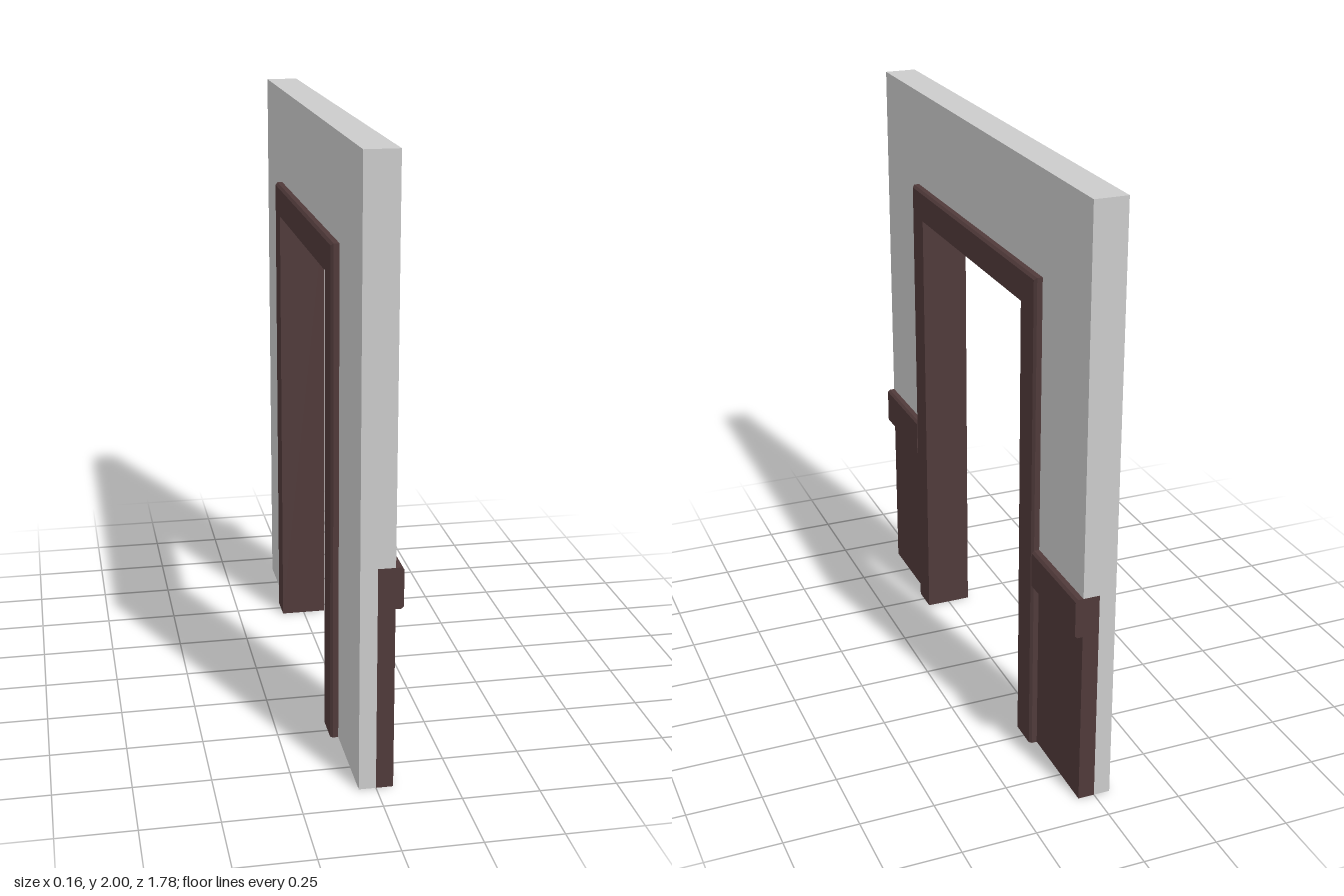
import * as THREE from 'three';

const HALF = 0.89, TOP = 2, WALL = 0.055;         // wall half length, height, half thickness
const OPEN = 0.445, OPEN_TOP = 1.56, TRIM = 0.106; // opening and casing width
const FACE = 0.081, BEVEL = 0.008;                 // trim face distance, edge bevel
const RAIL_BOTTOM = 0.605, RAIL_TOP = 0.74;

const plaster = new THREE.MeshStandardMaterial({ color: 0xcccccc, flatShading: true });
const wood = new THREE.MeshStandardMaterial({ color: 0x503a3a, flatShading: true });

function add(group, name, geometry, material) {
  const mesh = new THREE.Mesh(geometry, material);
  mesh.name = name;
  group.add(mesh);
  return mesh;
}

function shapeOf(points) {
  return new THREE.Shape(points.map(([x, y]) => new THREE.Vector2(x, y)));
}

// Arch-shaped slab of wall between two x positions, its legs starting at a given height
function wallSlab(x0, x1, legBottom) {
  const inner = OPEN + TRIM, head = OPEN_TOP + TRIM;
  const shape = shapeOf([
    [-HALF, legBottom], [-inner, legBottom], [-inner, head], [inner, head],
    [inner, legBottom], [HALF, legBottom], [HALF, TOP], [-HALF, TOP],
  ]);
  return new THREE.ExtrudeGeometry(shape, { depth: x1 - x0, bevelEnabled: false })
    .rotateY(Math.PI / 2).translate(x0, 0, 0);
}

// Casing: bevelled section swept round the opening with mitred corners
function casingGeometry() {
  const section = [ // [distance outward from the opening, x]
    [0, -FACE], [0, FACE], [TRIM - BEVEL, FACE], [TRIM, FACE - BEVEL],
    [TRIM, BEVEL - FACE], [TRIM - BEVEL, -FACE],
  ];
  const path = [ // [z, y, outward z, outward y]
    [OPEN, 0, 1, 0], [OPEN, OPEN_TOP, 1, 1], [-OPEN, OPEN_TOP, -1, 1], [-OPEN, 0, -1, 0],
  ];
  const n = section.length, positions = [], index = [];
  for (const [z, y, oz, oy] of path)
    for (const [d, x] of section) positions.push(x, y + oy * d, z + oz * d);
  for (let i = 0; i < path.length - 1; i++)
    for (let j = 0; j < n; j++) {
      const a = i * n + j, b = i * n + (j + 1) % n, c = a + n, d = b + n;
      index.push(a, c, b, b, c, d);
    }
  const last = (path.length - 1) * n;
  for (let k = 1; k < n - 1; k++) {
    index.push(0, k, k + 1);
    index.push(last, last + k + 1, last + k);
  }
  const geometry = new THREE.BufferGeometry();
  geometry.setAttribute('position', new THREE.Float32BufferAttribute(positions, 3));
  geometry.setIndex(index);
  const flat = geometry.toNonIndexed();
  flat.computeVertexNormals();
  return flat;
}

export function createModel() {
  const model = new THREE.Group();
  model.name = 'doorwayWall';

  // Wall: full-height back layer, front layer stopping above the wainscot
  const wall = new THREE.Group();
  wall.name = 'wall';
  add(wall, 'wallBack', wallSlab(-WALL, 0, 0), plaster);
  add(wall, 'wallFront', wallSlab(0, WALL, RAIL_TOP), plaster);
  model.add(wall);

  // Door casing, showing on both faces and lining the opening
  add(model, 'doorCasing', casingGeometry(), wood);

  // Wainscot on each side of the opening, on the +x face only
  const start = OPEN + TRIM, length = HALF - start;
  const railProfile = shapeOf([
    [0, RAIL_BOTTOM], [FACE - BEVEL, RAIL_BOTTOM], [FACE, RAIL_BOTTOM + BEVEL],
    [FACE, RAIL_TOP - BEVEL], [FACE - BEVEL, RAIL_TOP], [0, RAIL_TOP],
  ]);
  for (const side of [1, -1]) {
    const wainscot = new THREE.Group();
    wainscot.name = side > 0 ? 'frontWainscot' : 'backWainscot';
    const middle = side * (start + length / 2);
    add(wainscot, 'panel', new THREE.BoxGeometry(WALL, RAIL_BOTTOM, length), wood)
      .position.set(WALL / 2, RAIL_BOTTOM / 2, middle);
    add(wainscot, 'rail',
      new THREE.ExtrudeGeometry(railProfile, { depth: length, bevelEnabled: false }), wood)
      .position.z = middle - length / 2;
    model.add(wainscot);
  }
  return model;
}
